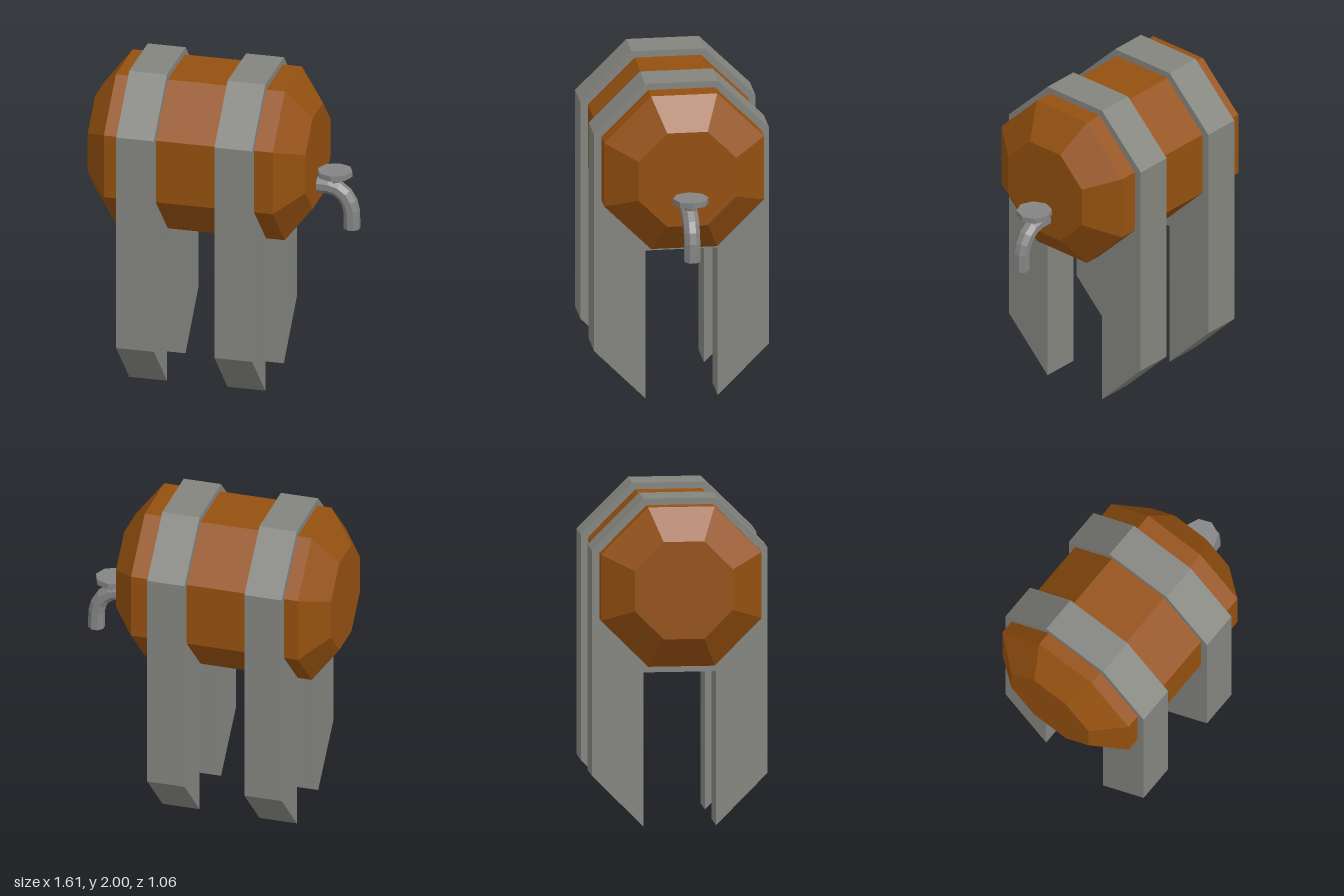
import * as THREE from 'three';

const material = (name, color) => {
  const m = new THREE.MeshStandardMaterial({ color, flatShading: true });
  m.name = name;
  return m;
};

export function createModel() {
  const model = new THREE.Group();
  model.name = 'barrelOnStand';
  const wood = material('wood', 0x94500f);
  const strapMetal = material('strapMetal', 0x84847f);
  const tapMetal = material('tapMetal', 0x848484);

  const add = (name, geometry, mat, x = 0, y = 0, z = 0, parent = model) => {
    const mesh = new THREE.Mesh(geometry, mat);
    mesh.name = name;
    mesh.position.set(x, y, z);
    parent.add(mesh);
    return mesh;
  };

  // Eight-sided barrel lying along x, with tapered ends
  const acrossFlats = 1 / Math.cos(Math.PI / 8);
  const profile = [[0, -0.81], [0.297, -0.81], [0.486, -0.66], [0.486, 0.392], [0.297, 0.545], [0, 0.545]]
    .map(([r, along]) => new THREE.Vector2(r * acrossFlats, along));
  const barrel = new THREE.LatheGeometry(profile, 8, Math.PI / 8);
  barrel.rotateZ(-Math.PI / 2);
  add('barrel', barrel, wood, 0, 1.474, 0);

  // Straps that wrap the barrel and run down into pointed legs
  const half = [[0.22, 2], [0.532, 1.69], [0.532, 0.315], [0.22, 0], [0.22, 0.94]];
  const outline = [...half, ...half.map(([z, y]) => [-z, y]).reverse()];
  const strapShape = new THREE.Shape(outline.map(([z, y]) => new THREE.Vector2(z, y)));
  for (const [name, x] of [['rightStrapLegs', -0.454], ['leftStrapLegs', 0.158]]) {
    const strap = new THREE.ExtrudeGeometry(strapShape, { depth: 0.235, bevelEnabled: false });
    strap.translate(0, 0, -0.1175);
    strap.rotateY(Math.PI / 2);
    add(name, strap, strapMetal, x);
  }

  // Tap: bent octagonal spout, tapered stem and flat handle
  const tap = new THREE.Group();
  tap.name = 'tap';
  model.add(tap);
  const path = new THREE.CurvePath();
  const p = (x, y) => new THREE.Vector3(x, y, 0);
  path.add(new THREE.LineCurve3(p(0.5, 1.29), p(0.6, 1.29)));
  path.add(new THREE.CubicBezierCurve3(p(0.6, 1.29), p(0.69, 1.29), p(0.757, 1.22), p(0.757, 1.11)));
  path.add(new THREE.LineCurve3(p(0.757, 1.11), p(0.757, 1.025)));
  const section = new THREE.Shape(Array.from({ length: 8 }, (_, i) => {
    const a = (i + 0.5) * Math.PI / 4;
    return new THREE.Vector2(Math.cos(a), Math.sin(a)).multiplyScalar(0.047 * acrossFlats);
  }));
  add('spout', new THREE.ExtrudeGeometry(section, { steps: 8, extrudePath: path, bevelEnabled: false }), tapMetal, 0, 0, 0, tap);
  add('stem', new THREE.CylinderGeometry(0.044, 0.03, 0.07, 8), tapMetal, 0.65, 1.327, -0.004, tap);
  add('handle', new THREE.CylinderGeometry(0.108, 0.108, 0.034, 8), tapMetal, 0.65, 1.373, -0.006, tap);

  return model;
}
